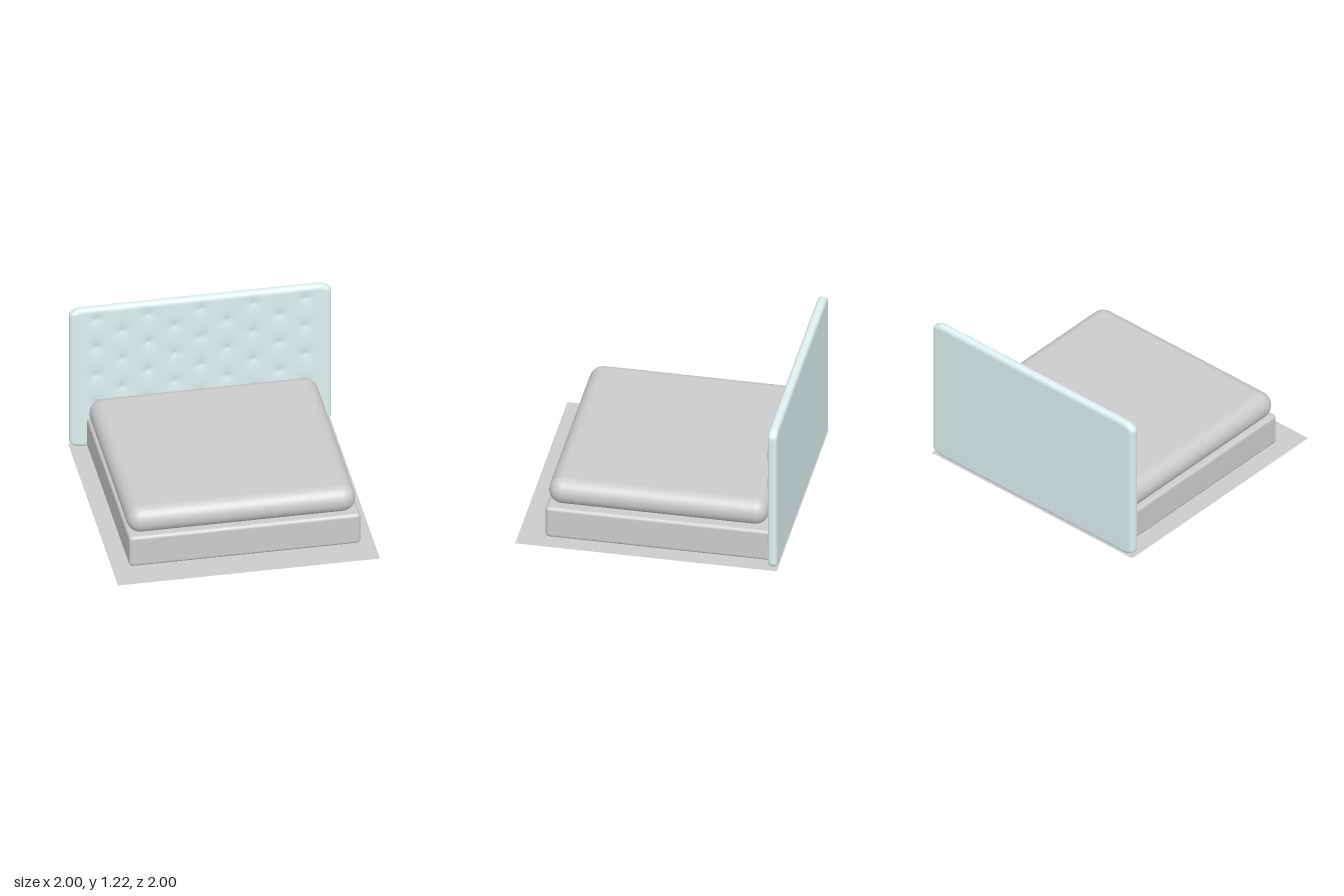
import * as THREE from 'three';
import { mergeVertices } from 'three/addons/utils/BufferGeometryUtils.js';
import { RoundedBoxGeometry } from 'three/addons/geometries/RoundedBoxGeometry.js';

const grey = new THREE.MeshStandardMaterial({ color: 0xcccccc });
const fabric = new THREE.MeshStandardMaterial({ color: 0xdef1f0 });

function part(name, geometry, material, x, y, z) {
  const mesh = new THREE.Mesh(geometry, material);
  mesh.name = name;
  mesh.position.set(x, y, z);
  return mesh;
}

// Rounded block given by its lower and upper limits
function roundedBlock(name, min, max, segments, radius) {
  const [w, h, d] = max.map((v, i) => v - min[i]);
  const [x, y, z] = max.map((v, i) => (v + min[i]) / 2);
  return part(name, new RoundedBoxGeometry(w, h, d, segments, radius), grey, x, y, z);
}

// Staggered button positions, measured from the panel centre
function buttonPositions(centreY) {
  const buttons = [];
  for (let row = 0; row < 9; row++) {
    const count = row % 2 ? 4 : 5;
    for (let i = 0; i < count; i++) {
      buttons.push([(i - (count - 1) / 2) * 0.4, 1.125 - row * 0.124 - centreY]);
    }
  }
  return buttons;
}

// Upholstered panel: rounded edges, soft corners and button dimples in front
function headboardGeometry(width, height, depth) {
  const half = new THREE.Vector3(width / 2, height / 2, depth / 2);
  const r = 0.032, cornerX = 0.1, cornerY = 0.06, dimple = 0.016;
  let geometry = new THREE.BoxGeometry(width, height, depth, 140, 86, 6);
  geometry.deleteAttribute('normal');
  geometry.deleteAttribute('uv');
  geometry = mergeVertices(geometry);

  const buttons = buttonPositions(height / 2);
  const limit = half.clone().subScalar(r);
  const p = new THREE.Vector3(), core = new THREE.Vector3();
  const pos = geometry.attributes.position;
  for (let i = 0; i < pos.count; i++) {
    p.fromBufferAttribute(pos, i);
    const front = p.z > half.z - 1e-4;

    // Round the edges
    core.copy(p).clamp(limit.clone().negate(), limit);
    p.sub(core).setLength(r).add(core);

    // Round the four corners of the outline
    const dx = (Math.abs(p.x) - half.x + cornerX) / cornerX;
    const dy = (Math.abs(p.y) - half.y + cornerY) / cornerY;
    if (dx > 0 && dy > 0) {
      const k = Math.max(dx, dy) / Math.hypot(dx, dy);
      p.x = Math.sign(p.x) * (half.x - cornerX + dx * k * cornerX);
      p.y = Math.sign(p.y) * (half.y - cornerY + dy * k * cornerY);
    }

    // Press in the buttons
    if (front) {
      for (const [bx, by] of buttons) {
        p.z -= dimple * Math.exp(-Math.hypot(p.x - bx, p.y - by) / 0.035);
      }
    }
    pos.setXYZ(i, p.x, p.y, p.z);
  }
  geometry.computeVertexNormals();
  return geometry;
}

export function createModel() {
  const group = new THREE.Group();
  group.name = 'bed';

  // Thin floor sheet
  const sheet = new THREE.PlaneGeometry(2, 2).rotateX(-Math.PI / 2);
  const floorMaterial = new THREE.MeshStandardMaterial({ color: 0xcccccc, side: THREE.DoubleSide });
  group.add(part('floor', sheet, floorMaterial, 0, 0, 0));

  // Bed base and mattress
  group.add(roundedBlock('base', [-0.873, 0.014, -0.925], [0.895, 0.275, 0.793], 3, 0.028));
  group.add(roundedBlock('mattress', [-0.876, 0.27, -0.896], [0.871, 0.487, 0.785], 4, 0.107));

  // Tufted headboard
  group.add(part('headboard', headboardGeometry(2, 1.222, 0.074), fabric, 0, 0.613, -0.963));

  return group;
}
